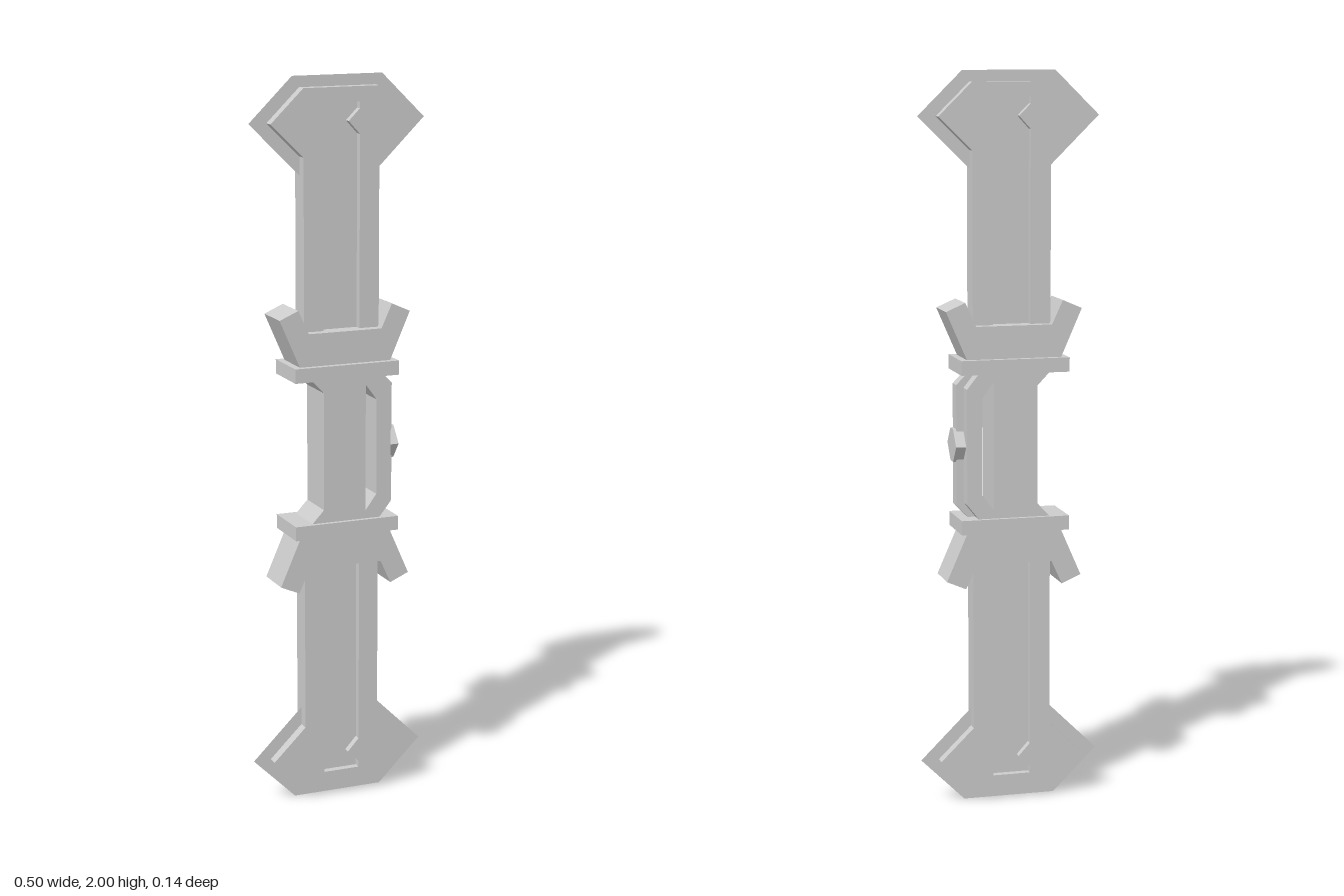
import * as THREE from 'three';

const metal = new THREE.MeshStandardMaterial({ color: 0xcccccc, side: THREE.DoubleSide });
metal.name = 'grey metal';

// Shape that is symmetric in x, from the points of its right half
const mirrorX = (pts) => [...pts, ...pts.map(([x, y]) => [-x, y]).reverse()];
// Outline that is symmetric about y = 0, from the points of its upper half
const mirrorY = (pts) => [...pts, ...pts.map(([x, y]) => [x, -y]).reverse()];
const toVectors = (pts) => pts.map(([x, y]) => new THREE.Vector2(x, y));

function add(parent, name, geometry) {
  const mesh = new THREE.Mesh(geometry, metal);
  mesh.name = name;
  parent.add(mesh);
  return mesh;
}

// Flat outline extruded from z0 to z1, with an optional hole
function slab(pts, z0, z1, hole) {
  const shape = new THREE.Shape(toVectors(pts));
  if (hole) shape.holes.push(new THREE.Path(toVectors(hole)));
  const g = new THREE.ExtrudeGeometry(shape, { depth: z1 - z0, bevelEnabled: false });
  return g.translate(0, 0, z0);
}

// One limb, measured upward from the middle of the grip
function createLimb(name) {
  const limb = new THREE.Group();
  limb.name = name;

  // Shaft with hexagonal head, and a groove sunk into both faces
  const body = mirrorX([[0.108, 0.22], [0.108, 0.79], [0.2, 0.88], [0.108, 0.97]]);
  const groove = mirrorX([[0.052, 0.25], [0.052, 0.845], [0.02, 0.88], [0.052, 0.912], [0.052, 0.93]]);
  add(limb, 'shaftCore', slab(body, -0.01, 0.01));
  add(limb, 'frontShaftPlate', slab(body, 0.01, 0.03, groove));
  add(limb, 'backShaftPlate', slab(body, -0.03, -0.01, groove));

  // Paper-thin cutting edge around the head
  const edge = mirrorX([[0.108, 0.74], [0.25, 0.88], [0.128, 1]]);
  add(limb, 'bladeEdge', new THREE.ShapeGeometry(new THREE.Shape(toVectors(edge))));

  // Horned guard and the collar below it
  const guard = mirrorX([[0.128, 0.23], [0.188, 0.367], [0.135, 0.39], [0.105, 0.325]]);
  add(limb, 'hornedGuard', slab(guard, -0.056, 0.056));
  add(limb, 'collar', new THREE.BoxGeometry(0.3, 0.039, 0.144)).position.y = 0.217;
  return limb;
}

function createGrip() {
  const grip = new THREE.Group();
  grip.name = 'grip';

  // Handle and hand guard in one piece, with a long opening between them
  const outline = mirrorY([[-0.1, 0.2], [0.098, 0.2], [0.132, 0.157]]);
  const flare = mirrorY([[-0.064, 0.162], [-0.1, 0.2]]);
  const handle = [...outline.slice(1, 5), flare[2], flare[3], flare[0], flare[1]];
  const opening = mirrorY([[0.058, 0.175], [0.09, 0.132]]);
  add(grip, 'handle', slab(handle, -0.06, 0.06, opening));

  // Raised rib along the hand guard
  const rib = mirrorY([[0.088, 0.2], [0.118, 0.2], [0.152, 0.165], [0.152, 0], [0.125, 0], [0.125, 0.15]]
    .slice(1, 3));
  const inner = mirrorY([[0.09, 0.2], [0.125, 0.157]]).reverse();
  add(grip, 'guardRib', slab([...rib, ...inner], -0.02, 0.02));

  // Diamond stud on the rib, pointing outward along x
  const stud = slab([[0.05, 0], [0.015, 0.045], [-0.015, 0.045], [-0.05, 0], [-0.015, -0.045], [0.015, -0.045]], 0.125, 0.16);
  add(grip, 'diamondStud', stud.rotateY(Math.PI / 2));
  return grip;
}

export function createModel() {
  const model = new THREE.Group();
  model.name = 'doubleEndedStaff';
  const upper = createLimb('upperLimb');
  const lower = createLimb('lowerLimb');
  lower.rotation.z = Math.PI;
  const grip = createGrip();
  for (const part of [upper, grip, lower]) {
    part.position.y = 1;
    model.add(part);
  }
  return model;
}
